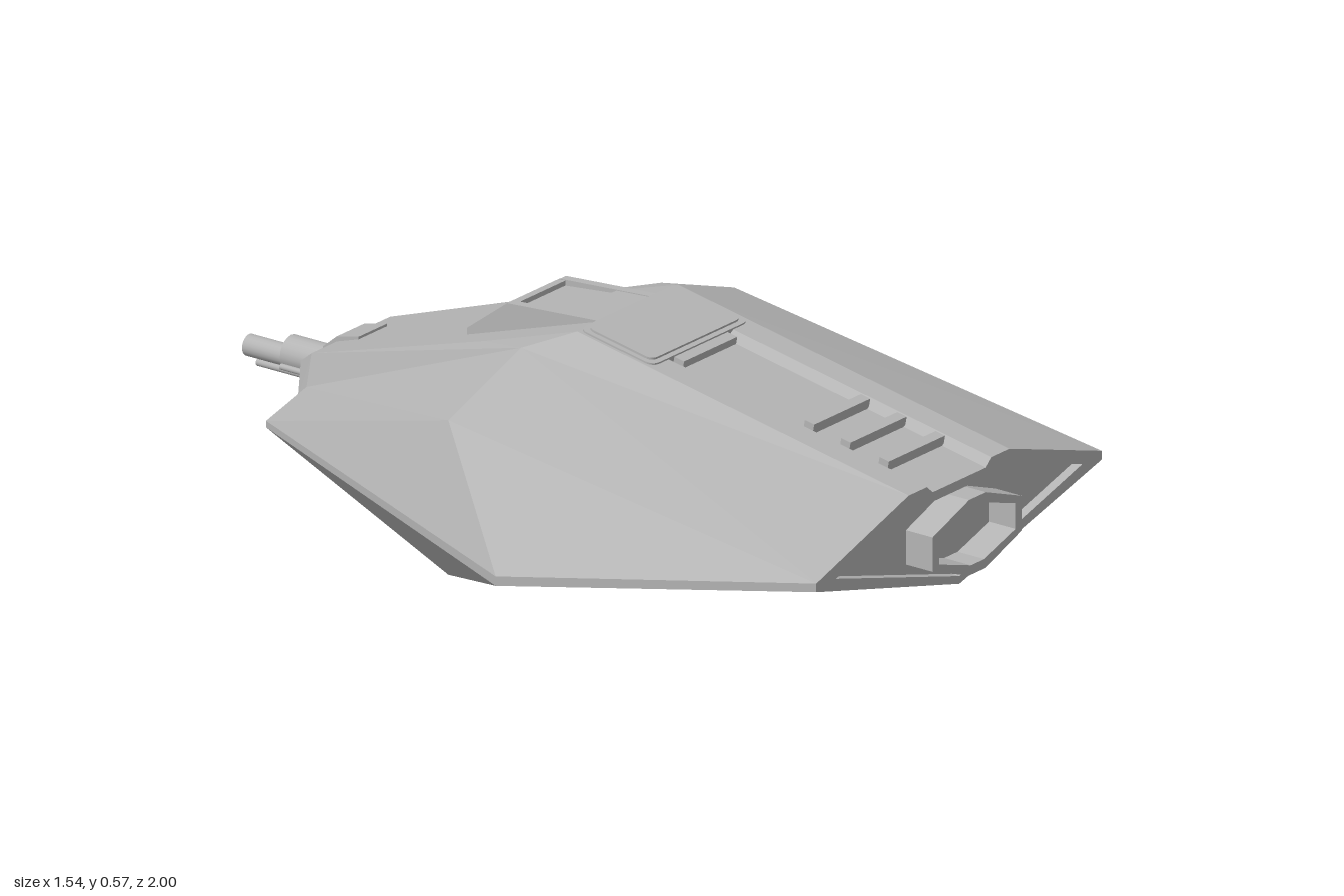
import * as THREE from 'three';

export function createModel() {
  const model = new THREE.Group();
  const grey = new THREE.MeshStandardMaterial({ color: 0xb4b4b4 });
  grey.name = 'hull grey';

  const add = (name, geometry, parent = model) => {
    const mesh = new THREE.Mesh(geometry, grey);
    mesh.name = name;
    parent.add(mesh);
    return mesh;
  };

  // Flat polygons on the +x half, mirrored to -x, all facing away from the hull core
  const core = new THREE.Vector3(0, 0.2, 0.1);
  function mirroredFaces(polygons) {
    const pos = [];
    const tri = (a, b, c) => {
      const n = b.clone().sub(a).cross(c.clone().sub(a));
      const mid = a.clone().add(b).add(c).divideScalar(3).sub(core);
      const order = n.dot(mid) < 0 ? [a, c, b] : [a, b, c];
      order.forEach((v) => pos.push(v.x, v.y, v.z));
    };
    for (const side of [1, -1]) {
      for (const poly of polygons) {
        const v = poly.map(([x, y, z]) => new THREE.Vector3(x * side, y, z));
        for (let i = 1; i < v.length - 1; i++) tri(v[0], v[i], v[i + 1]);
      }
    }
    const g = new THREE.BufferGeometry();
    g.setAttribute('position', new THREE.Float32BufferAttribute(pos, 3));
    g.computeVertexNormals();
    return g;
  }

  const shapeOf = (pts) => new THREE.Shape(pts.map(([x, y]) => new THREE.Vector2(x, y)));
  const mirrorOutline = (half) => [...half, ...half.filter((p) => p[0] > 0).reverse().map(([x, y]) => [-x, y])];
  const extrude = (shape, depth) => new THREE.ExtrudeGeometry(shape, { depth, bevelEnabled: false, curveSegments: 6 });
  // Side profile in (z, y), given a width across x
  const profile = (pts, width, x = 0) => extrude(shapeOf(pts), width).rotateY(-Math.PI / 2).translate(x + width / 2, 0, 0);

  // Height of the spine ahead of and behind its crest
  const slope = (0.56 - 0.39) / 0.91;
  const foreY = (z) => 0.39 + (0.95 - z) * slope;
  const aftY = (z) => 0.56 - (0.04 - z) * (0.24 / 0.76);

  // Hull corners
  const keel = [0, 0, 0.27], keelFront = [0, 0.13, 0.95], keelRear = [0, 0.2, -0.715];
  const chine = [0.51, 0.07, -0.06], shoulder = [0.51, 0.43, -0.06], inner = [0.25, 0.52, -0.06];
  const wideLow = [0.77, 0.2, 0.27], wideTop = [0.77, 0.222, 0.27];
  const frontLow = [0.51, 0.265, 0.95], frontTop = [0.51, 0.285, 0.95];
  const rearLow = [0.31, 0.2, -0.715], rearTop = [0.31, 0.215, -0.715];
  const spineFront = [0.18, 0.39, 0.95], crest = [0.18, 0.56, 0.04];
  const spineMid = [0.185, aftY(-0.21), -0.21], spineRear = [0.14, 0.32, -0.72];
  const rootTop = [0.165, 0.25, -0.715], rootLow = [0.165, 0.2, -0.715];
  const noseTop = [0.14, 0.295, -0.75], noseLow = [0.15, 0.215, -0.75];
  const centre = ([, y, z]) => [0, y, z];

  add('lowerHull', mirroredFaces([
    [keel, chine, wideLow, frontLow, keelFront],
    [keel, chine, rearLow, keelRear],
    [chine, wideLow, rearLow],
  ]));
  add('rim', mirroredFaces([
    [frontLow, frontTop, wideTop, wideLow],
    [wideLow, wideTop, rearTop, rearLow],
    [rearLow, rearTop, rootTop, rootLow],
  ]));
  add('upperHull', mirroredFaces([
    [frontTop, wideTop, shoulder],
    [frontTop, shoulder, inner, spineFront],
    [shoulder, wideTop, rearTop],
    [shoulder, inner, rootTop, rearTop],
  ]));

  // Spine with a shallow channel along its front half
  const lip = 0.115, floor = 0.095, sink = 0.018;
  add('spine', mirroredFaces([
    [spineFront, inner, crest],
    [inner, rootTop, spineRear, spineMid],
    [inner, spineMid, crest],
    [centre(crest), crest, spineMid, spineRear, centre(spineRear)],
    [spineFront, [lip, 0.39, 0.95], [lip, 0.56, 0.04], crest],
    [[lip, 0.39, 0.95], [floor, 0.39 - sink, 0.95], [floor, 0.56 - sink, 0.04], [lip, 0.56, 0.04]],
    [[0, 0.39 - sink, 0.95], [floor, 0.39 - sink, 0.95], [floor, 0.56 - sink, 0.04], [0, 0.56 - sink, 0.04]],
  ]));
  add('rearNose', mirroredFaces([
    [centre(spineRear), spineRear, noseTop, centre(noseTop)],
    [centre(noseTop), noseTop, noseLow, centre(noseLow)],
    [spineRear, noseTop, noseLow, rootLow, rootTop],
    [centre(noseLow), noseLow, rootLow, keelRear],
  ]));

  // Front rim around a recessed panel
  const outline = mirrorOutline([[0, 0.13], [0.51, 0.265], [0.51, 0.285], [0.18, 0.39], [lip, 0.39], [floor, 0.39 - sink]]);
  const opening = mirrorOutline([[0, 0.148], [0.44, 0.275], [0.15, 0.367], [0.1, 0.35]]);
  const frontRim = shapeOf(outline);
  frontRim.holes.push(shapeOf(opening));
  add('frontRim', extrude(frontRim, 0.025).translate(0, 0, 0.925));
  add('frontPanel', new THREE.ShapeGeometry(shapeOf(opening)).translate(0, 0, 0.927));

  // Hollow six-sided outlet on the front panel
  const hex = (w, flat, h, mid) => [[w, -mid], [w, mid], [flat, h], [-flat, h], [-w, mid], [-w, -mid], [-flat, -h], [flat, -h]];
  const outlet = shapeOf(hex(0.16, 0.03, 0.088, 0.04));
  outlet.holes.push(shapeOf(hex(0.137, 0.024, 0.066, 0.03)));
  add('outlet', extrude(outlet, 0.075).translate(0, 0.258, 0.925));

  // Parts lying on the sloped front spine
  function onSpine(name, z) {
    const g = new THREE.Group();
    g.name = name;
    g.position.set(0, foreY(z), z);
    g.rotation.x = Math.atan(slope);
    model.add(g);
    return g;
  }
  function roundedPlate(w, l, r, bottom, top) {
    const s = new THREE.Shape(), x = w / 2, y = l / 2;
    s.moveTo(-x + r, -y);
    s.lineTo(x - r, -y).quadraticCurveTo(x, -y, x, -y + r);
    s.lineTo(x, y - r).quadraticCurveTo(x, y, x - r, y);
    s.lineTo(-x + r, y).quadraticCurveTo(-x, y, -x, y - r);
    s.lineTo(-x, -y + r).quadraticCurveTo(-x, -y, -x + r, -y);
    return extrude(s, top - bottom).rotateX(-Math.PI / 2).translate(0, bottom, 0);
  }
  const hatch = onSpine('hatch', 0.14);
  add('hatchBase', roundedPlate(0.345, 0.206, 0.025, -0.025, 0.004), hatch);
  add('hatchLid', roundedPlate(0.32, 0.18, 0.02, 0, 0.009), hatch);
  add('hatchLip', new THREE.BoxGeometry(0.19, 0.02, 0.03).translate(0, -0.01, 0.115), hatch);
  for (const z of [0.615, 0.715, 0.82]) {
    const slat = onSpine('slat', z);
    add('slatBar', new THREE.BoxGeometry(0.2, 0.028, 0.026).translate(0, -0.008, 0), slat);
  }

  // Rear viewport: wedge, window frame and two side rails
  add('viewportWedge', profile([[0.04, 0.556], [-0.2, 0.532], [-0.215, 0.46], [0.04, 0.53]], 0.18));
  for (const x of [-0.094, 0.094]) {
    add('viewportRail', profile([[0.04, 0.562], [-0.21, 0.545], [-0.32, 0.462], [-0.32, 0.435], [0.04, 0.53]], 0.022, x));
  }
  for (const [z0, z1] of [[0.04, -0.055], [-0.195, -0.215]]) {
    const y = (z) => 0.56 + (z - 0.04) * 0.068;
    add('viewportCrossbar', profile([[z0, y(z0)], [z1, y(z1)], [z1, y(z1) - 0.02], [z0, y(z0) - 0.02]], 0.18));
  }

  // Rear gun and its mount
  const rod = (name, r, z0, z1, x, y) =>
    add(name, new THREE.CylinderGeometry(r, r, z0 - z1, 20).rotateX(Math.PI / 2).translate(x, y, (z0 + z1) / 2));
  add('gunBracket', profile([[-0.66, 0.345], [-0.72, 0.332], [-0.758, 0.3], [-0.758, 0.22], [-0.7, 0.22], [-0.66, 0.32]], 0.1));
  rod('gunSleeve', 0.04, -0.73, -0.885, 0, 0.242);
  rod('gunBarrel', 0.025, -0.8, -1, 0, 0.232);
  rod('lowerRod', 0.009, -0.8, -0.975, 0, 0.198);
  add('lowerMount', new THREE.BoxGeometry(0.07, 0.026, 0.16).translate(0, 0.188, -0.75));
  for (const [x, end] of [[-0.1, -0.835], [0.095, -0.805]]) {
    rod('sidePin', 0.007, -0.73, end, x, 0.25);
    rod('sidePinBase', 0.015, -0.73, -0.765, x, 0.25);
  }
  return model;
}
